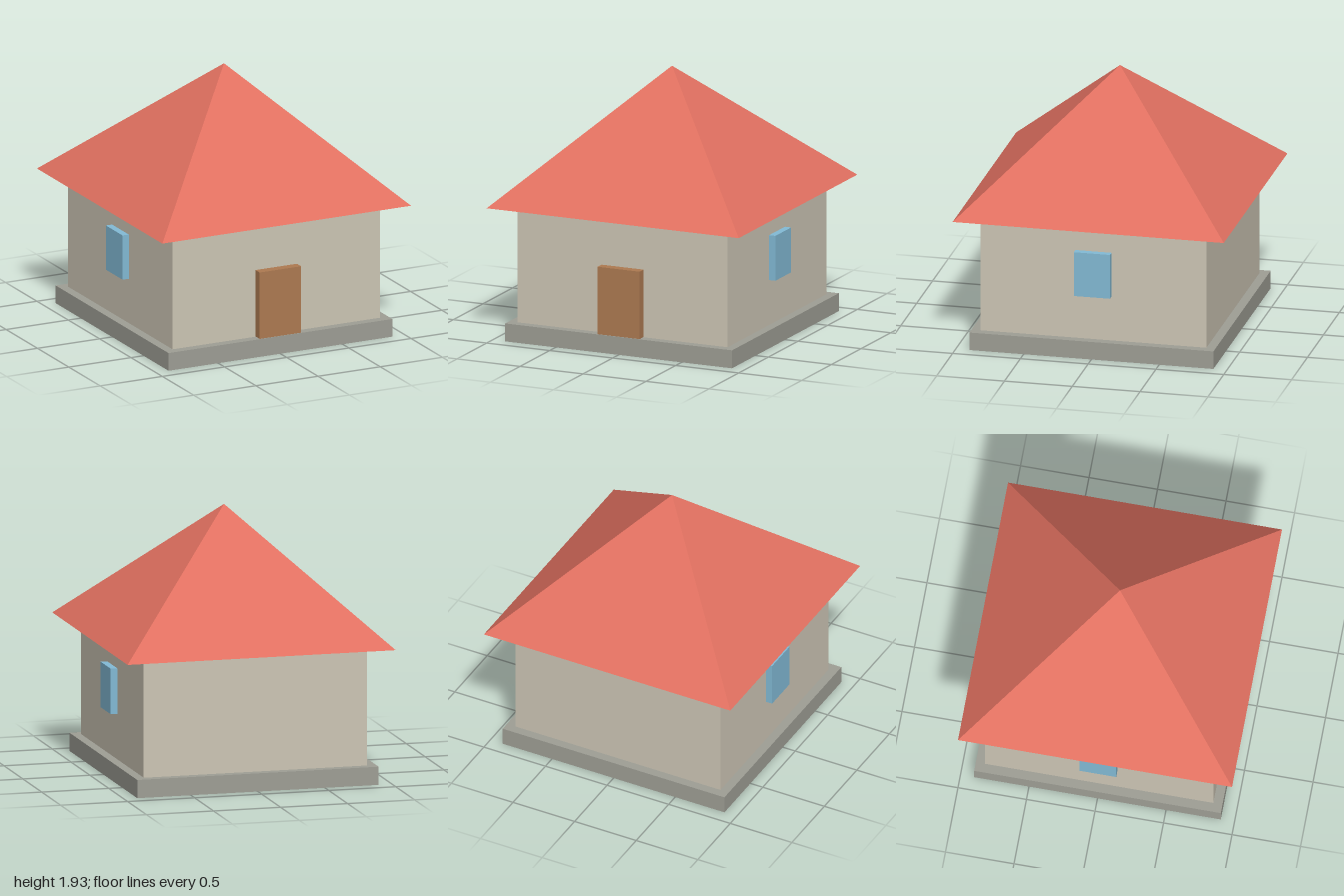
import * as THREE from 'three';

const flat = (name, color, extra = {}) =>
  new THREE.MeshStandardMaterial({ name, color, flatShading: true, ...extra });

// Square tube, cone or frustum aligned to the axes, given half widths
function square(halfTop, halfBottom, height, open) {
  const r = Math.SQRT2;
  return new THREE.CylinderGeometry(halfTop * r, halfBottom * r, height, 4, 1, open, Math.PI / 4);
}

export function createModel() {
  const house = new THREE.Group();
  house.name = 'house';

  const stone = flat('stone', 0x9e9e95, { side: THREE.DoubleSide });
  const plaster = flat('plaster', 0xcdc6b5);
  const tile = flat('roof tile', 0xe07060);
  const wood = flat('wood', 0xad7a51);
  const glass = flat('glass', 0x82bad5);

  const add = (name, geometry, material, x, y, z) => {
    const mesh = new THREE.Mesh(geometry, material);
    mesh.name = name;
    mesh.position.set(x, y, z);
    house.add(mesh);
    return mesh;
  };

  const floor = 0.133, eaves = 1.0, wallHalf = 0.833;

  // Foundation: hollow underneath, closed on top
  add('foundationSides', square(0.9, 0.9, floor, true), stone, 0, floor / 2, 0);
  add('foundationTop', new THREE.PlaneGeometry(1.8, 1.8).rotateX(-Math.PI / 2), stone, 0, floor, 0);

  // Walls and pyramid roof with a flat underside
  add('walls', square(wallHalf, wallHalf, eaves - floor, true), plaster, 0, (floor + eaves) / 2, 0);
  add('roof', square(0, 1, 0.933, false), tile, 0, eaves + 0.933 / 2, 0);

  // Door, flush with the front of the foundation
  add('door', new THREE.BoxGeometry(0.333, 0.5, 0.067), wood, 0, floor + 0.252, 0.8665);

  // One window on each side wall
  for (const [name, side] of [['leftWindow', 1], ['rightWindow', -1]]) {
    add(name, new THREE.BoxGeometry(0.05, 0.333, 0.267), glass, side * 0.858, 0.633, 0);
  }

  return house;
}
